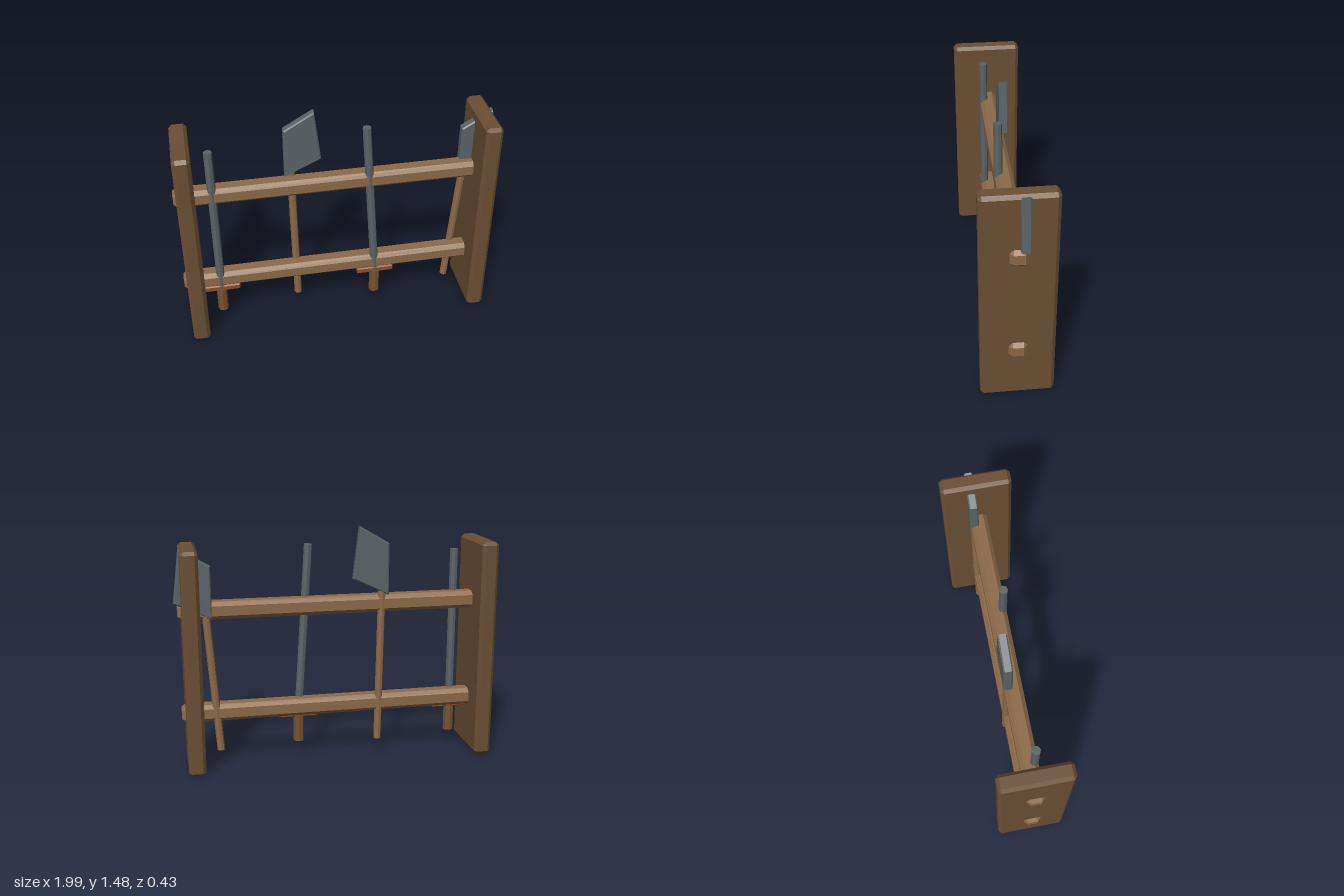
import * as THREE from 'three';
import { ConvexGeometry } from 'three/addons/geometries/ConvexGeometry.js';

const mat = (name, color) => {
  const m = new THREE.MeshStandardMaterial({ color });
  m.name = name;
  return m;
};

// Box with every edge chamfered by c
function chamferBox(w, h, d, c) {
  const pts = [];
  for (const x of [-1, 1]) for (const y of [-1, 1]) for (const z of [-1, 1]) {
    const a = w / 2, b = h / 2, e = d / 2;
    pts.push(
      new THREE.Vector3(x * a, y * (b - c), z * (e - c)),
      new THREE.Vector3(x * (a - c), y * b, z * (e - c)),
      new THREE.Vector3(x * (a - c), y * (b - c), z * e));
  }
  return new ConvexGeometry(pts);
}

// Faceted rod between two points in a plane of constant z
function rodGeometry(x0, y0, x1, y1, z, r) {
  const dx = x1 - x0, dy = y1 - y0;
  const g = new THREE.CylinderGeometry(r, r, Math.hypot(dx, dy), 8).toNonIndexed();
  g.computeVertexNormals();
  g.rotateZ(-Math.atan2(dx, dy));
  g.translate((x0 + x1) / 2, (y0 + y1) / 2, z);
  return g;
}

export function createModel() {
  const group = new THREE.Group();
  group.name = 'weaponRack';
  const darkWood = mat('dark wood', 0x6b4f34);
  const lightWood = mat('light wood', 0x8c6a48);
  const steel = mat('steel', 0x5b6367);
  const copper = mat('copper wood', 0x8b4f2b);
  const gripWood = mat('grip wood', 0x76532f);

  const add = (parent, name, geometry, material, x = 0, y = 0, z = 0) => {
    const m = new THREE.Mesh(geometry, material);
    m.name = name;
    m.position.set(x, y, z);
    parent.add(m);
    return m;
  };

  // End boards
  const board = chamferBox(0.105, 1.375, 0.43, 0.02);
  add(group, 'rightBoard', board, darkWood, -0.925, 0.6925, 0);
  add(group, 'leftBoard', board, darkWood, 0.895, 0.6925, 0);

  // Cross rails, their ends poking through the boards
  const rail = chamferBox(1.97, 0.108, 0.11, 0.024);
  add(group, 'lowerRail', rail, lightWood, -0.015, 0.348, 0);
  add(group, 'upperRail', rail, lightWood, -0.015, 0.995, 0);

  // Swords leaning in front: [guard x, blade tip x, blade tip y]
  for (const [x, tipX, tipY] of [[-0.768, -0.77, 1.31], [0.236, 0.165, 1.37]]) {
    const sword = new THREE.Group();
    sword.name = 'sword';
    add(sword, 'swordBlade', rodGeometry(x, 0.29, tipX, tipY, 0.033, 0.026), steel);
    add(sword, 'swordGuard', chamferBox(0.24, 0.042, 0.05, 0.007), copper, x, 0.288, 0.033);
    add(sword, 'swordGrip', rodGeometry(x, 0.105, x, 0.28, 0.033, 0.034), gripWood);
    group.add(sword);
  }

  // Slanted axe head
  const shape = new THREE.Shape([
    [-0.325, 1.05], [-0.10, 1.155], [-0.14, 1.48], [-0.325, 1.372],
  ].map(([x, y]) => new THREE.Vector2(x, y)));
  const head = new THREE.ExtrudeGeometry(shape, {
    depth: 0.039, bevelEnabled: true, bevelSegments: 1,
    bevelSize: 0.008, bevelOffset: -0.008, bevelThickness: 0.008,
  });

  // Axes behind: [head offset x, y, shaft foot x, shaft top x, shaft top y]
  for (const [dx, dy, footX, topX, topY] of [
    [0, 0, -0.265, -0.285, 1.1], [1.092, -0.105, 0.738, 0.804, 1.0],
  ]) {
    const axe = new THREE.Group();
    axe.name = 'axe';
    add(axe, 'axeHead', head, steel, dx, dy, -0.0525);
    add(axe, 'axeShaft', rodGeometry(footX, 0.105, topX, topY, -0.035, 0.024), lightWood);
    group.add(axe);
  }
  return group;
}
